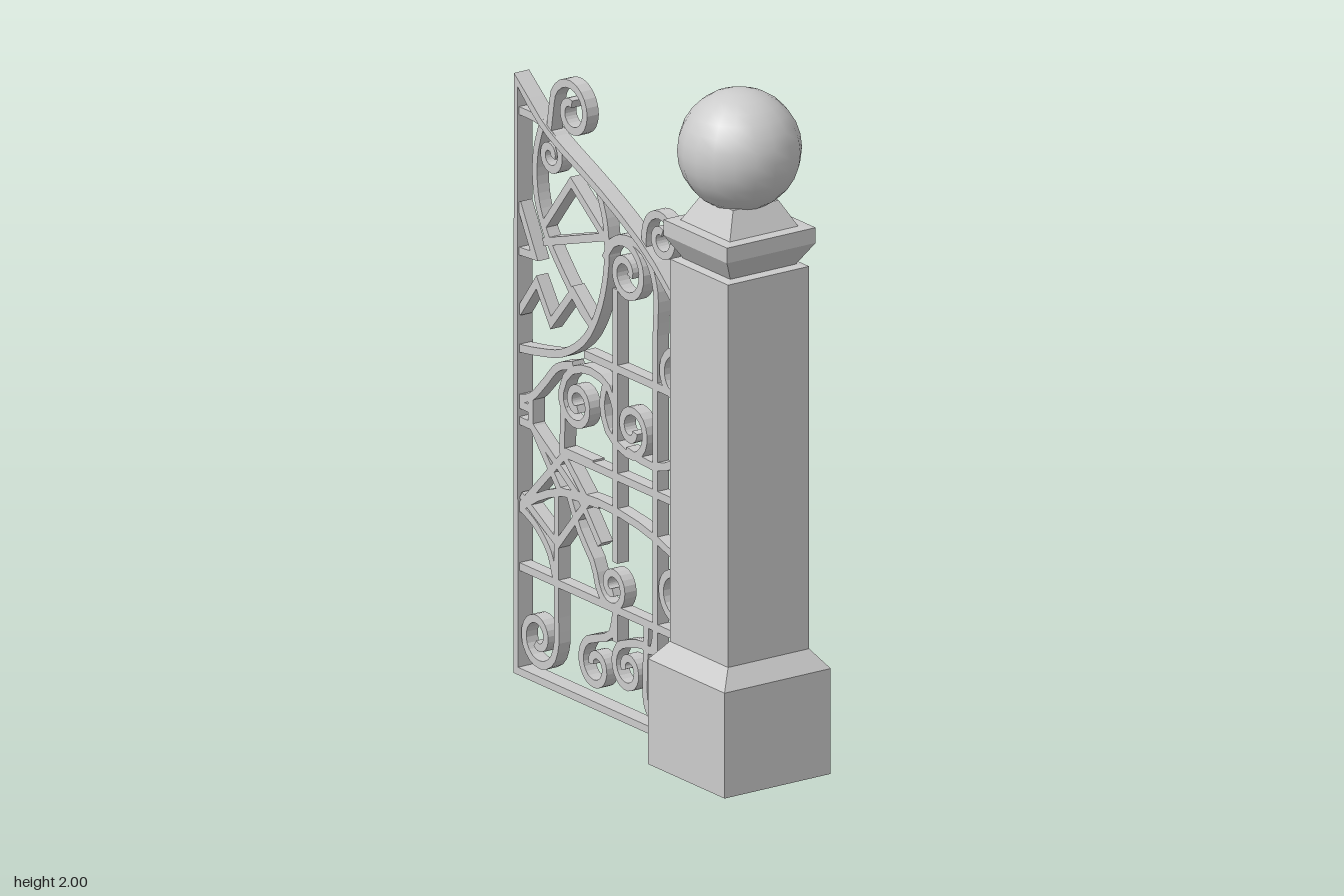
import * as THREE from 'three';

const U = 0.0053; // ironwork drawing unit; origin at the gate's lower outer corner
const X0 = -0.612, ZC = 0.004;
const metal = new THREE.MeshStandardMaterial({ color: 0xcccccc, flatShading: true, side: THREE.DoubleSide });
const smooth = new THREE.MeshStandardMaterial({ color: 0xcccccc });
const V = (p) => new THREE.Vector2(p[0], p[1]);

// mitred sideways offset of a polyline
function offset(pts, d, closed) {
  const n = pts.length;
  const normal = (a, b) => { const t = b.clone().sub(a).normalize(); return V([-t.y, t.x]); };
  return pts.map((p, i) => {
    const prev = i > 0 ? pts[i - 1] : closed ? pts[n - 1] : null;
    const next = i < n - 1 ? pts[i + 1] : closed ? pts[0] : null;
    const n1 = normal(prev || p, prev ? p : next), n2 = normal(next ? p : prev, next || p);
    const m = n1.clone().add(n2).divideScalar(Math.max(0.5, 1 + n1.dot(n2)));
    return p.clone().addScaledVector(m, d);
  });
}

function spline(points, steps) {
  const c = new THREE.CatmullRomCurve3(points.map((p) => new THREE.Vector3(p[0], p[1], 0)));
  return c.getPoints(steps).map((p) => V([p.x, p.y]));
}

export function createModel() {
  const model = new THREE.Group();
  model.name = 'gateWithPillar';
  const gate = new THREE.Group();
  gate.name = 'gate';
  const pillar = new THREE.Group();
  pillar.name = 'pillar';
  model.add(gate, pillar);

  function plate(name, shape, depth) {
    const geo = new THREE.ExtrudeGeometry(shape, { depth, bevelEnabled: false });
    geo.scale(U, U, 1).translate(X0, 0, ZC - depth / 2);
    const mesh = new THREE.Mesh(geo, metal);
    mesh.name = name;
    gate.add(mesh);
  }
  // flat iron strip following a path
  function strip(name, pts, half = 2.2) {
    plate(name, new THREE.Shape([...offset(pts, half), ...offset(pts, -half).reverse()]), 0.04);
  }
  const bar = (name, ...pts) => strip(name, pts.map(V));
  const curve = (name, ...pts) => strip(name, spline(pts, pts.length * 4));
  // strip that leads into a spiral: centre, radius, start angle and sweep in degrees
  function curl(name, lead, cx, cy, r, start, sweep) {
    const pts = [...lead], steps = Math.round(Math.abs(sweep) / 36);
    for (let i = 0; i <= steps; i++) {
      const t = i / steps, a = THREE.MathUtils.degToRad(start + sweep * t), q = r * (1 - 0.75 * t);
      pts.push([cx + q * Math.cos(a), cy + q * Math.sin(a)]);
    }
    strip(name, spline(pts, pts.length * 2));
  }

  // outer frame with sloping, curved top rail
  const top = spline([[2, 330], [26, 311], [40, 304], [78, 288], [118, 267], [143, 247], [166, 227]], 14);
  const frame = [...top, ...[[166, 71], [157, 61], [157, 2.2], [2, 2.2]].map(V)];
  const shape = new THREE.Shape(offset(frame, 2.1, true));
  shape.holes.push(new THREE.Path(offset(frame, -2.1, true)));
  plate('frame', shape, 0.052);

  // cross rails and uprights
  bar('lowerRail', [3, 60], [159, 60]);
  bar('middleRail', [42, 134], [165, 134]);
  bar('upperRail', [62, 194], [165, 194]);
  bar('centreUpright', [90, 238], [90, 86]);
  bar('centreFoot', [90, 60], [90, 42]);

  // scrolls standing above the top rail
  curl('tallTopScroll', [[30, 308]], 50, 325, 18, 190, -470);
  curl('shortTopScroll', [[116, 267]], 131, 277, 15, 180, -470);

  // upper panel: leaf arcs, scrolls and jagged bars
  curl('leafScroll', [[22, 310], [34, 307]], 31, 296, 10, 45, -420);
  curve('leafLeft', [24, 312], [18, 292], [19, 270], [27, 252], [42, 234], [60, 217], [68, 212]);
  curve('leafRight', [74, 290], [81, 272], [82, 248], [75, 222], [62, 202], [42, 189], [22, 184], [3, 181]);
  curve('topCornerTie', [3, 313], [14, 313], [25, 312]);
  bar('upperKite', [26, 256], [50, 286], [80, 264]);
  bar('kiteTie', [25, 246], [80, 264]);
  bar('upperTooth', [3, 262], [17, 236], [3, 235]);
  bar('zigzag', [3, 201], [19, 222], [32, 203], [52, 226], [68, 213]);
  curl('archScroll', [[80, 252], [88, 263]], 99, 249, 17, 90, -460);
  curve('archUpright', [84, 261], [94, 267], [108, 268], [119, 262], [126, 248], [126, 220], [126, 151]);
  bar('rightUpright', [126, 153], [126, 38]);

  // middle panel scrolls
  curl('middleLeftScroll', [[90, 170], [83, 182], [66, 186], [48, 180]], 55, 165, 14, 180, 470);
  curve('middleLeftArc', [3, 153], [14, 157], [26, 168], [38, 180], [52, 185]);
  curl('middleScroll', [[81, 183], [78, 170], [84, 156]], 104, 164, 15, 265, 440);
  curl('rightScroll', [[100, 151], [125, 149], [148, 159], [160, 180]], 145, 203, 18, 0, 480);

  // lower left lattice
  bar('smallBox', [14, 158], [14, 141], [3, 141]);
  bar('smallBoxTop', [3, 150], [14, 150]);
  bar('latticeRising', [3, 92], [46, 135], [70, 135]);
  bar('latticeFalling', [13, 143], [40, 112], [75, 114]);
  bar('latticeCross', [14, 141], [58, 113], [76, 92]);
  bar('latticeSteep', [43, 160], [42, 134], [64, 114]);
  curve('latticeFoot', [3, 94], [18, 87], [30, 76], [36, 62]);
  bar('latticeBrace', [66, 114], [38, 82], [5, 100]);

  // lower sweeping arch with its scrolls
  curl('lowerArch', [[3, 92], [20, 103], [43, 112], [80, 115], [118, 111], [148, 101]], 144, 84, 18, 0, -460);
  curl('hangingScroll', [[48, 112], [58, 94], [70, 80]], 87, 72, 13, 200, 450);

  // bottom row of scrolls
  curl('footScrollA', [[37, 112], [37, 70], [37, 38]], 20, 25, 17, 0, -480);
  curl('footScrollB', [[90, 60], [86, 45]], 72, 24, 15, 90, 450);
  curl('footScrollC', [[126, 60], [123, 46], [113, 47]], 101, 30, 14, 90, 470);
  curl('footScrollD', [[118, 60], [117, 35]], 129, 18, 12, 180, 450);

  // hinges tying the gate to the pillar
  for (const y of [0.45, 1.155]) {
    const hinge = new THREE.Mesh(new THREE.BoxGeometry(0.024, 0.036, 0.03), metal);
    hinge.name = 'hinge';
    hinge.position.set(0.28, y, ZC);
    gate.add(hinge);
  }

  // square pillar parts turned from half-width / height profiles
  function square(name, profile) {
    const pts = profile.map(([h, y]) => new THREE.Vector2(h * Math.SQRT2, y));
    const geo = new THREE.LatheGeometry(pts, 4).rotateY(Math.PI / 4);
    const mesh = new THREE.Mesh(geo, metal);
    mesh.name = name;
    pillar.add(mesh);
  }
  square('plinthAndShaft', [[0.182, 0], [0.182, 0.31], [0.139, 0.365], [0.139, 1.49], [0.11, 1.495]]);
  square('cornice', [[0.11, 1.49], [0.152, 1.56], [0.152, 1.605], [0.118, 1.607]]);
  square('neck', [[0.118, 1.605], [0.078, 1.68], [0, 1.68]]);

  const ball = new THREE.Mesh(new THREE.SphereGeometry(0.175, 18, 14), smooth);
  ball.name = 'ballFinial';
  ball.position.y = 1.825;
  pillar.add(ball);
  pillar.position.x = 0.425;
  return model;
}
